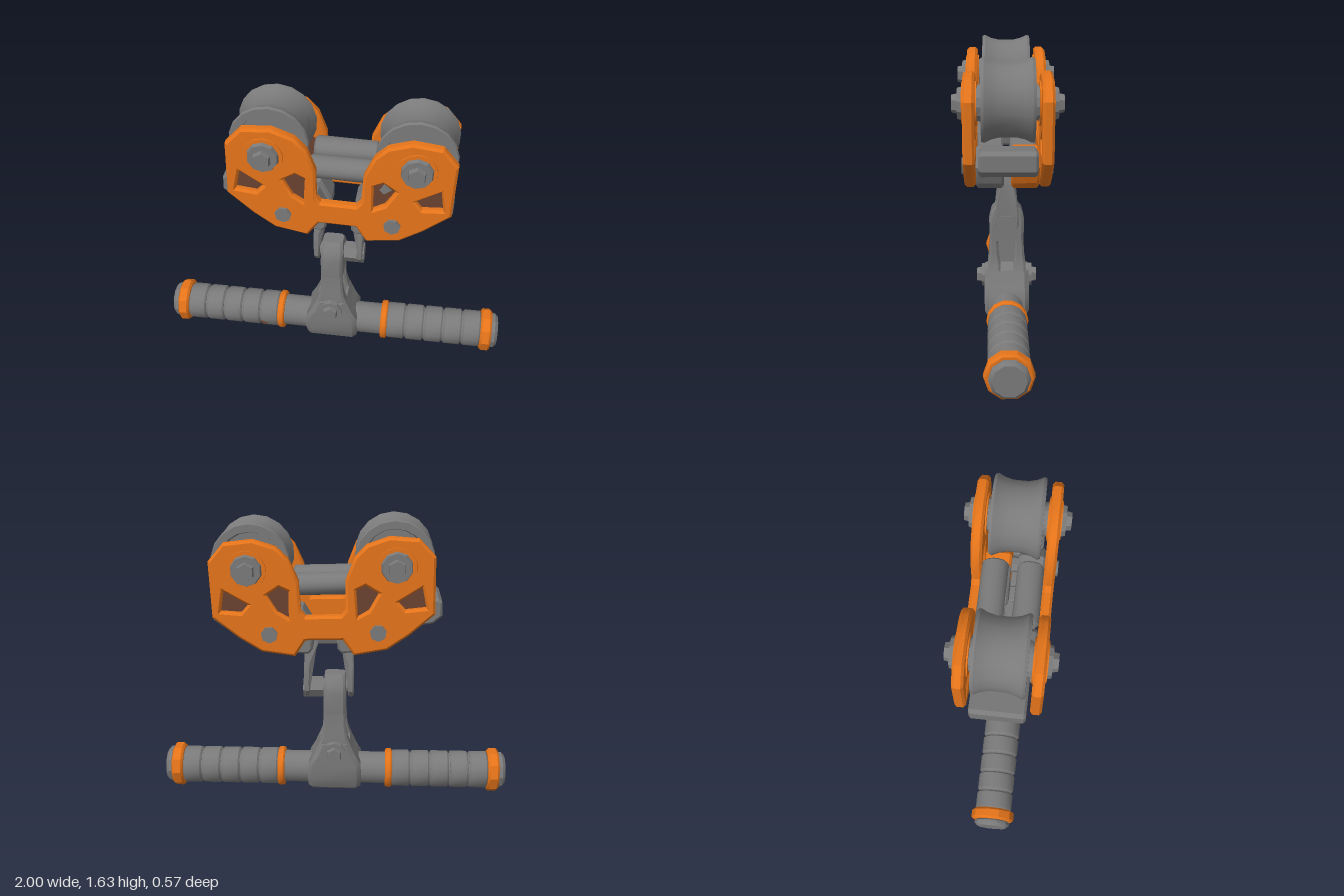
import * as THREE from 'three';
import { toCreasedNormals } from 'three/addons/utils/BufferGeometryUtils.js';

const steel = new THREE.MeshStandardMaterial({ color: 0x7a7a7a });
steel.name = 'steel grey';
const orange = new THREE.MeshStandardMaterial({ color: 0xe5741a });
orange.name = 'orange';
const brown = new THREE.MeshStandardMaterial({ color: 0x6a4230 });
brown.name = 'dark brown';

function add(parent, name, geo, mat = steel, x = 0, y = 0, z = 0) {
  const mesh = new THREE.Mesh(toCreasedNormals(geo, 0.5), mat);
  mesh.name = name;
  mesh.position.set(x, y, z);
  parent.add(mesh);
  return mesh;
}

// Cylinder running from a to b along the x or z axis
function rod(axis, a, b, r, sides = 12, r2 = r) {
  const g = new THREE.CylinderGeometry(r2, r, b - a, sides);
  g.translate(0, (a + b) / 2, 0);
  return axis === 'x' ? g.rotateZ(-Math.PI / 2) : g.rotateX(Math.PI / 2);
}

// Turned part along the x or z axis; points are [radius, position]
function turned(axis, points, sides) {
  const g = new THREE.LatheGeometry(points.map(p => new THREE.Vector2(...p)), sides);
  return axis === 'x' ? g.rotateZ(-Math.PI / 2) : g.rotateX(Math.PI / 2);
}

// Short ring with bevelled edges along x
const band = (a, b, r, bevel, sides) =>
  turned('x', [[0, a], [r - bevel, a], [r, a + bevel], [r, b - bevel], [r - bevel, b], [0, b]], sides);

const polygon = pts => new THREE.Shape(pts.map(p => new THREE.Vector2(...p)));

function slab(shape, depth, bevel) {
  const g = new THREE.ExtrudeGeometry(shape, {
    depth: depth - 2 * bevel, bevelEnabled: bevel > 0, bevelThickness: bevel,
    bevelSize: bevel, bevelOffset: -bevel, bevelSegments: 1,
  });
  return g.translate(0, 0, -depth / 2 + bevel);
}

// Stacked chamfered rectangles; sections are [y, half x, half z]
function loft(sections, chamfer, zc = 0) {
  const pos = [], index = [], n = 8;
  for (const [y, hx, hz] of sections) {
    const c = Math.min(chamfer, hx * 0.6, hz * 0.6);
    for (const [x, z] of [[hx, hz - c], [hx - c, hz], [c - hx, hz], [-hx, hz - c],
      [-hx, c - hz], [c - hx, -hz], [hx - c, -hz], [hx, c - hz]]) pos.push(x, y, z + zc);
  }
  const top = (sections.length - 1) * n;
  for (let s = 0; s < top; s += n) {
    for (let i = 0; i < n; i++) {
      const j = (i + 1) % n;
      index.push(s + i, s + n + i, s + j, s + j, s + n + i, s + n + j);
    }
  }
  for (let i = 1; i < n - 1; i++) index.push(0, i, i + 1, top, top + i + 1, top + i);
  const g = new THREE.BufferGeometry();
  g.setAttribute('position', new THREE.Float32BufferAttribute(pos, 3));
  g.setIndex(index);
  return g;
}

function createHandle() {
  const handle = new THREE.Group();
  handle.name = 'handleBar';
  handle.position.y = 0.131;
  add(handle, 'barCore', rod('x', -0.95, 0.95, 0.095, 14));
  for (const s of [-1, 1]) {
    const side = new THREE.Group();
    side.name = s > 0 ? 'leftGrip' : 'rightGrip';
    side.rotation.y = s > 0 ? 0 : Math.PI;
    handle.add(side);
    for (let i = 0; i < 5; i++) {
      const a = 0.335 + i * 0.114;
      add(side, 'gripSegment', band(a, a + 0.107, 0.109, 0.009, 14));
    }
    add(side, 'innerRing', band(0.296, 0.336, 0.117, 0.008, 14), orange);
    add(side, 'outerRing', band(0.897, 0.962, 0.128, 0.012, 10), orange);
    add(side, 'endCap', band(0.95, 1, 0.105, 0.018, 10));
  }
  // Small worn chip on the right grip
  const chip = polygon([[-0.44, -0.02], [-0.395, -0.035], [-0.43, -0.04]]);
  add(handle, 'gripChip', slab(chip, 0.008, 0), brown, 0, 0, 0.105);
  return handle;
}

function createArm() {
  const arm = new THREE.Group();
  arm.name = 'handleArm';
  add(arm, 'hub', loft([[0.012, 0.14, 0.05], [0.045, 0.153, 0.1], [0.11, 0.157, 0.128],
    [0.2, 0.152, 0.128], [0.25, 0.122, 0.128], [0.33, 0.088, 0.126]], 0.025));
  // Rails either side of the slot, with a sloping web inside it
  for (const s of [-1, 1]) {
    add(arm, 'slotRail', loft([[0.33, 0.088, 0.037], [0.37, 0.074, 0.036], [0.42, 0.066, 0.028],
      [0.51, 0.064, 0.024]], 0.012, s * 0.073));
  }
  add(arm, 'slotWeb', loft([[0.32, 0.085, 0.06], [0.37, 0.03, 0.06], [0.52, 0.025, 0.06]], 0.002));
  add(arm, 'armTop', loft([[0.51, 0.064, 0.097], [0.63, 0.064, 0.1], [0.69, 0.063, 0.085],
    [0.735, 0.058, 0.045]], 0.015));
  for (const s of [-1, 1]) {
    const bolt = new THREE.Group();
    bolt.name = 'hubBolt';
    bolt.position.y = 0.28;
    bolt.rotation.y = s > 0 ? 0 : Math.PI;
    add(bolt, 'boltWasher', rod('z', 0.11, 0.145, 0.068, 10));
    add(bolt, 'boltHead', rod('z', 0.14, 0.172, 0.048, 6, 0.042));
    arm.add(bolt);
  }
  return arm;
}

function createShackle() {
  const shackle = new THREE.Group();
  shackle.name = 'shackle';
  shackle.position.x = 0.033;
  const profile = polygon([[-0.035, 0.6], [0.035, 0.6], [0.065, 0.64], [0.065, 0.7], [0.055, 0.8],
    [0.035, 0.88], [0.032, 0.96], [-0.032, 0.96], [-0.035, 0.88], [-0.055, 0.8], [-0.065, 0.7], [-0.065, 0.64]]);
  for (const s of [-1, 1]) {
    const g = slab(profile, 0.032, 0.006).rotateY(Math.PI / 2);
    const p = g.attributes.position;
    // Thicken the top of each leg inward
    for (let i = 0; i < p.count; i++) {
      const inner = s * p.getX(i) < 0;
      const lean = Math.max(0, p.getY(i) - (inner ? 0.79 : 0.87)) * 0.4;
      p.setX(i, p.getX(i) + s * (0.125 - lean));
    }
    add(shackle, 'shackleLeg', g);
  }
  add(shackle, 'shackleBar', rod('x', -0.11, 0.11, 0.034, 10), steel, 0, 0.94);
  add(shackle, 'shacklePin', rod('x', -0.14, 0.14, 0.04, 10), steel, 0, 0.655);
  add(shackle, 'pinNut', rod('x', 0.035, 0.148, 0.06, 6), steel, 0, 0.645);
  return shackle;
}

function createTrolley() {
  const trolley = new THREE.Group();
  trolley.name = 'pulleyTrolley';
  trolley.position.set(0.057, 1.2, 0);
  trolley.rotation.z = -0.03;

  // Side plates: one half outline, mirrored, with two windows per lobe
  const half = [[0.095, -0.065], [0.12, -0.035], [0.125, 0.13], [0.175, 0.25], [0.24, 0.315], [0.36, 0.355],
    [0.515, 0.34], [0.6, 0.245], [0.597, -0.065], [0.46, -0.18], [0.34, -0.26], [0.16, -0.29], [0.1, -0.2]];
  const windows = [
    [[0.3, 0.055], [0.23, 0.1], [0.18, 0.075], [0.185, -0.075], [0.245, -0.04]],
    [[0.53, 0.085], [0.4, 0.005], [0.44, -0.04], [0.55, -0.03]],
  ];
  const flip = pts => pts.map(([x, y]) => [-x, y]).reverse();
  const openings = windows.flatMap(w => [w, flip(w)]);
  const plate = polygon([...half, ...flip(half)]);
  plate.holes = openings.map(polygon);
  for (const s of [-1, 1]) {
    add(trolley, s > 0 ? 'frontPlate' : 'backPlate', slab(plate, 0.06, 0.013), orange, 0, 0, s * 0.195);
    for (const w of openings) add(trolley, 'windowPanel', slab(polygon(w), 0.008, 0), brown, 0, 0, s * 0.184);
  }
  // Bit of steel showing in one front window
  const peek = polygon([[0.235, 0.08], [0.21, 0.04], [0.235, 0.015], [0.275, 0.045]]);
  add(trolley, 'windowPeek', slab(peek, 0.006, 0), steel, 0, 0, 0.187);

  // Grooved wheel with recessed sides
  const wheel = [[0.05, -0.15], [0.08, -0.15], [0.09, -0.095], [0.16, -0.095], [0.17, -0.135], [0.21, -0.135],
    [0.216, -0.12], [0.199, -0.085], [0.188, -0.04], [0.188, 0.04], [0.199, 0.085], [0.216, 0.12],
    [0.21, 0.135], [0.17, 0.135], [0.16, 0.095], [0.09, 0.095], [0.08, 0.15], [0.05, 0.15]];
  for (const s of [-1, 1]) {
    add(trolley, 'pulleyWheel', turned('z', wheel, 18), steel, s * 0.387, 0.213);
    add(trolley, 'wheelAxle', rod('z', -0.17, 0.17, 0.09, 12), steel, s * 0.395, 0.197);
    add(trolley, 'lowerPin', rod('z', -0.24, 0.24, 0.046, 7), steel, s * 0.293, -0.16);
    for (const f of [-1, 1]) {
      const bolt = new THREE.Group();
      bolt.name = 'axleBolt';
      bolt.position.set(s * 0.397, 0.197, 0);
      bolt.rotation.y = f > 0 ? 0 : Math.PI;
      trolley.add(bolt);
      add(bolt, 'axleBoss', rod('z', 0.157, 0.232, 0.115, 14, 0.105), orange);
      add(bolt, 'axleWasher', rod('z', 0.225, 0.254, 0.088, 10, 0.08));
      add(bolt, 'axleNut', rod('z', 0.25, 0.283, 0.052, 6, 0.046));
    }
  }

  // Twin spacer rollers between the wheels, slightly flattened
  for (const s of [-1, 1]) {
    add(trolley, 'spacerRoller', band(-0.175, 0.175, 0.06, 0.012, 14), steel, 0, 0.084, s * 0.094).scale.z = 1.18;
  }

  // Bumpers at both ends
  const bumper = end => polygon([[0.34, -0.04], [end - 0.02, 0], [end, -0.02], [end, -0.1], [end - 0.05, -0.14], [0.38, -0.165]]);
  add(trolley, 'leftBumper', slab(bumper(0.605), 0.296, 0.012));
  add(trolley, 'rightBumper', slab(bumper(0.64), 0.296, 0.012)).rotation.y = Math.PI;

  // Inner cheek blocks around the lower pins, each in an inner and an outer half
  const innerCheek = polygon([[0.068, -0.2], [0.13, -0.09], [0.24, -0.06], [0.24, -0.29], [0.09, -0.297], [0.068, -0.27]]);
  const outerCheek = polygon([[0.235, -0.06], [0.3, -0.05], [0.4, -0.14], [0.36, -0.235], [0.3, -0.28], [0.235, -0.29]]);
  for (const s of [-1, 1]) {
    for (const f of [-1, 1]) {
      const turn = s > 0 ? 0 : Math.PI;
      add(trolley, 'innerCheek', slab(innerCheek, 0.145, 0.012), steel, 0, 0, f * 0.0925).rotation.y = turn;
      add(trolley, 'outerCheek', slab(outerCheek, 0.145, 0.012), s > 0 && f < 0 ? orange : steel,
        0, 0, f * 0.0925).rotation.y = turn;
    }
  }
  return trolley;
}

export function createModel() {
  const model = new THREE.Group();
  model.name = 'ziplineTrolley';
  model.add(createHandle(), createArm(), createShackle(), createTrolley());
  return model;
}
